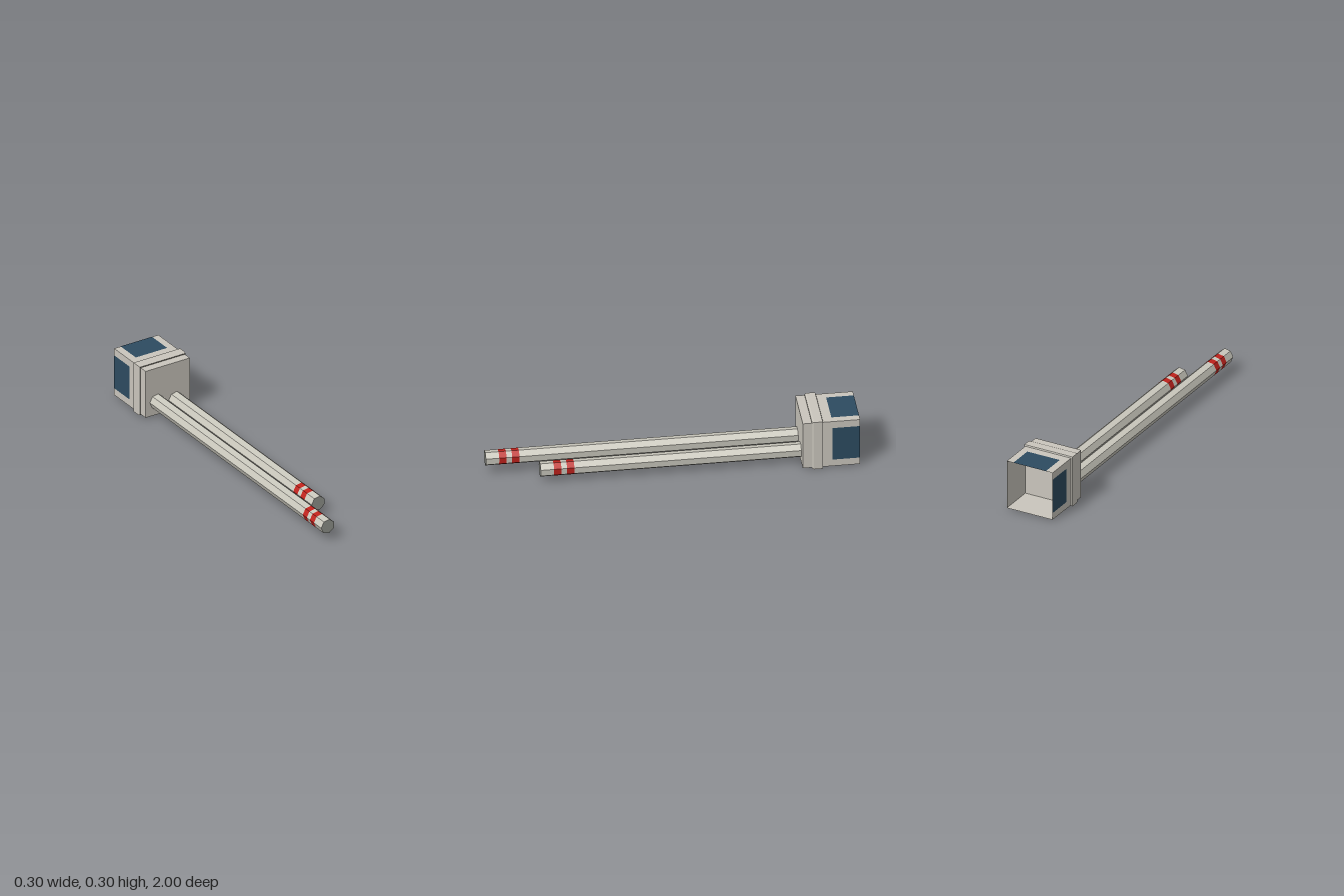
import * as THREE from 'three';

const paint = (color, extra = {}) =>
  new THREE.MeshStandardMaterial({ color, flatShading: true, ...extra });

const cream = paint(0xcac6bd);
const creamShell = paint(0xcac6bd, { side: THREE.DoubleSide });
const tubePaint = paint(0xcac8bd);
const capGrey = paint(0x969891);
const red = paint(0xc0221c);
const blue = paint(0x2d4b60);
const dark = paint(0x6c685e);

const MID_Y = 0.1485; // height of the housing's axis
const HALF = 0.141;   // half width of the housing

function add(parent, name, geometry, material, x = 0, y = 0, z = 0) {
  const mesh = new THREE.Mesh(geometry, material);
  mesh.name = name;
  mesh.position.set(x, y, z);
  parent.add(mesh);
  return mesh;
}

// Square sleeve along z from [half width, z] pairs, z rising
function squareSleeve(profile) {
  const points = profile.map(([h, z]) => new THREE.Vector2(h * Math.SQRT2, z));
  return new THREE.LatheGeometry(points, 4, Math.PI / 4).rotateX(Math.PI / 2);
}

// Seven-sided barrel with two red stripes near its front end
function barrel(name, x, y, front) {
  const group = new THREE.Group();
  group.name = name;
  const back = -0.69, radius = 0.0425, start = -1.606;
  const cuts = [front, front - 0.072, front - 0.112, front - 0.142, front - 0.182, back];
  for (let i = 0; i < 5; i++) {
    const length = cuts[i] - cuts[i + 1];
    const geometry = new THREE.CylinderGeometry(radius, radius, length, 7, 1, true, start)
      .rotateX(Math.PI / 2);
    const stripe = i % 2 === 1;
    add(group, stripe ? 'stripe' : 'barrelSection', geometry, stripe ? red : tubePaint,
      0, 0, (cuts[i] + cuts[i + 1]) / 2);
  }
  add(group, 'endCap', new THREE.CircleGeometry(radius, 7, start - Math.PI / 2), capGrey, 0, 0, front);
  group.position.set(x, y, 0);
  return group;
}

export function createModel() {
  const model = new THREE.Group();
  model.name = 'twinBarrelUnit';

  const housing = new THREE.Group();
  housing.name = 'housing';
  housing.position.y = MID_Y;
  model.add(housing);

  // Solid front block; its rear face is the floor of the open shell
  add(housing, 'frontBlock', new THREE.BoxGeometry(2 * HALF, 2 * HALF, 0.11), cream, 0, 0, -0.745);

  // Raised collar with a chamfered front edge and a dark front rim
  add(housing, 'collar', squareSleeve([[HALF, -0.8], [0.1485, -0.797], [0.1485, -0.75], [0.1455, -0.74]]), cream);
  add(housing, 'collarRim', squareSleeve([[0.1455, -0.74], [HALF, -0.739]]), dark);

  // Thin shell, open at the back
  add(housing, 'rearShell', squareSleeve([[HALF, -1], [HALF, -0.8]]), creamShell);

  // Blue panel on each of the four shell sides
  for (let i = 0; i < 4; i++) {
    const geometry = new THREE.PlaneGeometry(0.2, 0.15)
      .rotateX(-Math.PI / 2)
      .translate(0, HALF + 0.0008, -0.925)
      .rotateZ(i * Math.PI / 2);
    add(housing, 'bluePanel', geometry, blue);
  }

  model.add(barrel('rightBarrel', -0.0714, 0.0889, 1));
  model.add(barrel('leftBarrel', 0.049, 0.069, 0.72));
  return model;
}
